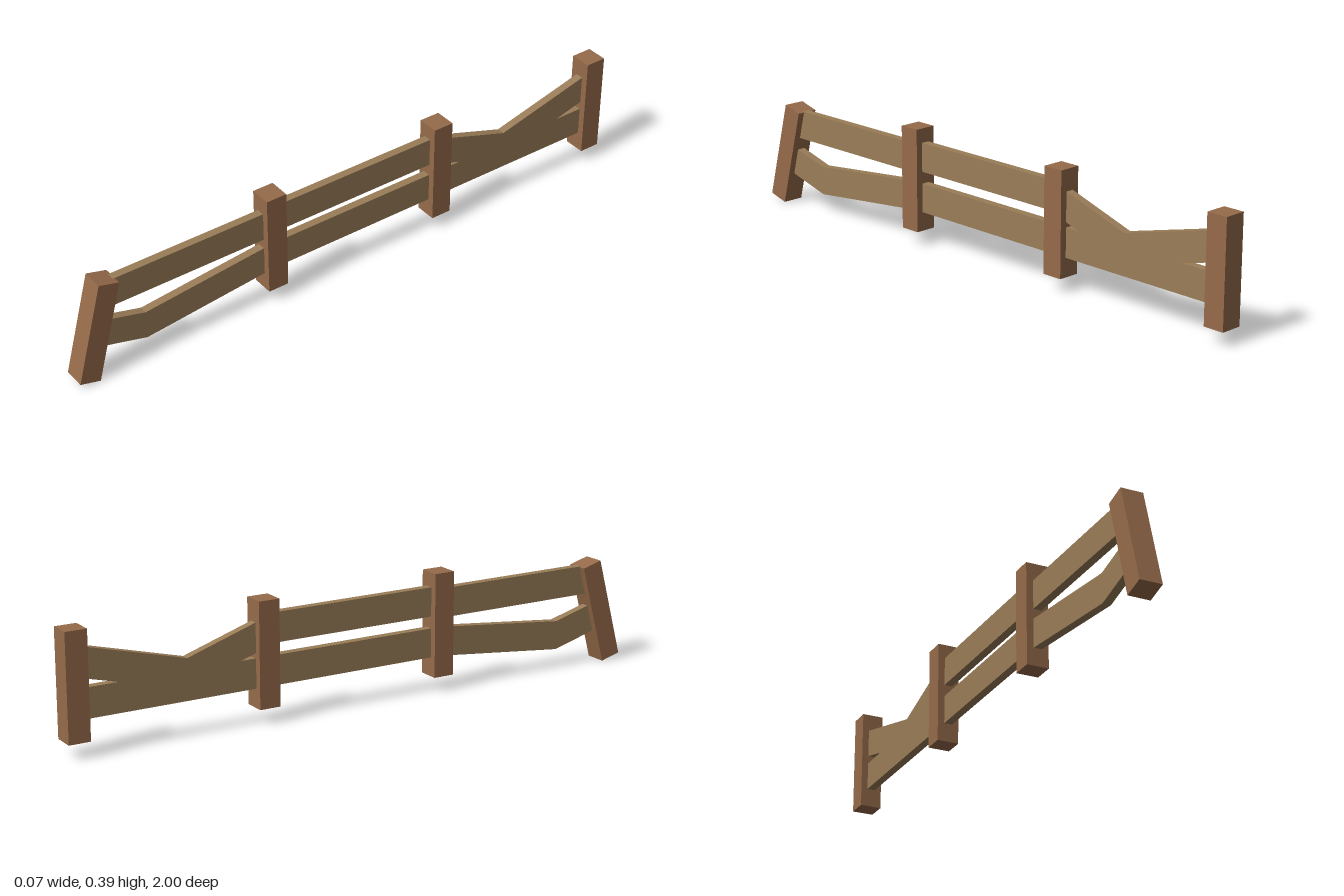
import * as THREE from 'three';

const postMat = new THREE.MeshStandardMaterial({ color: 0x966b4a, flatShading: true });
const railMat = new THREE.MeshStandardMaterial({ color: 0x9a7d58, flatShading: true });

const RAIL_HEIGHT = 0.095;
const RAIL_THICKNESS = 0.027;

// Square post, optionally leaning along the fence
function post(name, y, z, lean = 0) {
  const mesh = new THREE.Mesh(new THREE.BoxGeometry(0.072, 0.338, 0.07), postMat);
  mesh.name = name;
  mesh.position.set(0, y, z);
  mesh.rotation.x = lean;
  return mesh;
}

// Plank following a line of [z, y] points along its top edge
function rail(name, top) {
  const bottom = top.map(([z, y]) => [z, y - RAIL_HEIGHT]).reverse();
  const shape = new THREE.Shape([...top, ...bottom].map(([z, y]) => new THREE.Vector2(-z, y)));
  const geo = new THREE.ExtrudeGeometry(shape, { depth: RAIL_THICKNESS, bevelEnabled: false });
  geo.translate(0, 0, -RAIL_THICKNESS / 2);
  geo.rotateY(Math.PI / 2);
  const mesh = new THREE.Mesh(geo, railMat);
  mesh.name = name;
  return mesh;
}

export function createModel() {
  const fence = new THREE.Group();
  fence.name = 'brokenFence';

  // Three upright posts and one leaning at the front end
  [-0.963, -0.334, 0.297].forEach((z, i) => fence.add(post(`post${i + 1}`, 0.218, z)));
  fence.add(post('leaningPost', 0.1735, 0.923, -THREE.MathUtils.degToRad(15)));

  // Upper rails, the rear one sagging in a V
  fence.add(rail('upperRailFront', [[0.89, 0.33], [0.297, 0.33]]));
  fence.add(rail('upperRailMiddle', [[0.297, 0.34], [-0.334, 0.34]]));
  fence.add(rail('upperRailSagging', [[-0.334, 0.329], [-0.6, 0.243], [-0.963, 0.337]]));

  // Lower rails, the front one bent
  fence.add(rail('lowerRailBent', [[0.92, 0.203], [0.754, 0.158], [0.297, 0.206]]));
  fence.add(rail('lowerRailMiddle', [[0.297, 0.206], [-0.334, 0.206]]));
  fence.add(rail('lowerRailRear', [[-0.334, 0.206], [-0.963, 0.206]]));

  return fence;
}
